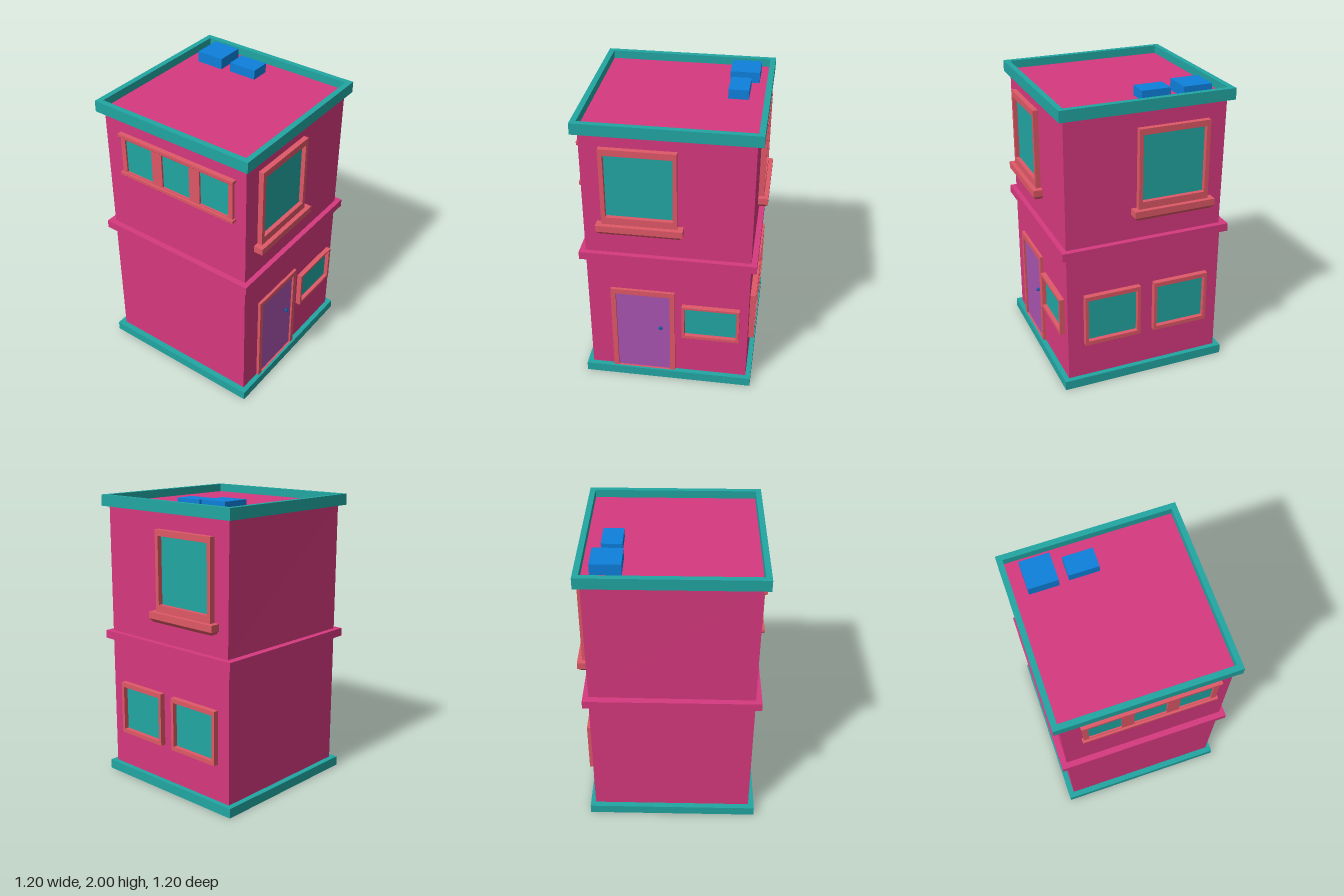
import * as THREE from 'three';

const mat = (color) => new THREE.MeshStandardMaterial({ color, flatShading: true });
const pink = mat(0xd6397e), teal = mat(0x21a6a2), coral = mat(0xde5866);
const purple = mat(0xa854af), blue = mat(0x0e80dc), knobBlue = mat(0x0a5fa8);

// Box from its minimum and maximum corners
function block(name, material, [x0, y0, z0], [x1, y1, z1]) {
  const mesh = new THREE.Mesh(new THREE.BoxGeometry(x1 - x0, y1 - y0, z1 - z0), material);
  mesh.position.set((x0 + x1) / 2, (y0 + y1) / 2, (z0 + z1) / 2);
  mesh.name = name;
  return mesh;
}

function trace(path, [x0, y0, x1, y1]) {
  path.moveTo(x0, y0);
  path.lineTo(x1, y0);
  path.lineTo(x1, y1);
  path.lineTo(x0, y1);
  path.closePath();
  return path;
}

// Rectangular plate with rectangular holes, extruded along +z
function plate(name, material, outer, holes, depth) {
  const shape = trace(new THREE.Shape(), outer);
  holes.forEach((h) => shape.holes.push(trace(new THREE.Path(), h)));
  const mesh = new THREE.Mesh(new THREE.ExtrudeGeometry(shape, { depth, bevelEnabled: false }), material);
  mesh.name = name;
  return mesh;
}

// Ledge against a wall: a straight slab over an underside that tapers inwards
function ledge(name, x0, x1, y0, yMid, y1, depth, taper) {
  const group = new THREE.Group();
  group.name = name;
  group.add(block('ledgeTop', coral, [x0, yMid, -0.01], [x1, y1, depth]));
  const under = block('ledgeUnderside', coral, [x0, y0, 0], [x1, yMid, depth]);
  const p = under.geometry.attributes.position;
  for (let i = 0; i < p.count; i++) {
    if (p.getY(i) > 0) continue;
    p.setX(i, p.getX(i) - Math.sign(p.getX(i)) * taper);
    if (p.getZ(i) > 0) p.setZ(i, p.getZ(i) - taper);
  }
  under.geometry.computeVertexNormals();
  group.add(under);
  return group;
}

// Framed window in wall space: x along the wall, z outwards
function framedWindow(name, outer, panes, depth) {
  const group = new THREE.Group();
  group.name = name;
  group.add(plate('windowFrame', coral, outer, panes, depth));
  panes.forEach(([x0, y0, x1, y1]) =>
    group.add(block('windowPane', teal, [x0, y0, -0.01], [x1, y1, 0.006])));
  return group;
}

// Group standing on one wall, turned so that its z points outwards
function wallGroup(name, x, z, turn) {
  const group = new THREE.Group();
  group.name = name;
  group.position.set(x, 0, z);
  group.rotation.y = turn;
  return group;
}

export function createModel() {
  const house = new THREE.Group();
  house.name = 'house';

  // Storeys and slabs
  house.add(block('base', teal, [-0.6, 0, -0.6], [0.565, 0.065, 0.57]));
  house.add(block('lowerStorey', pink, [-0.56, 0.065, -0.56], [0.53, 0.99, 0.535]));
  house.add(block('floorBand', pink, [-0.6, 0.985, -0.6], [0.568, 1.04, 0.57]));
  const upper = block('upperStorey', pink, [-0.56, 1.035, -0.56], [0.53, 1.925, 0.535]);
  // Slightly uneven lower back corner
  const p = upper.geometry.attributes.position;
  for (let i = 0; i < p.count; i++) {
    if (p.getX(i) > 0 && p.getY(i) < 0 && p.getZ(i) < 0) p.setZ(i, p.getZ(i) + 0.01);
  }
  upper.geometry.computeVertexNormals();
  house.add(upper);

  // Parapet around the roof
  const parapet = plate('parapet', teal, [-0.6, -0.57, 0.57, 0.6], [[-0.562, -0.533, 0.532, 0.562]], 0.075);
  parapet.rotation.x = -Math.PI / 2;
  parapet.position.y = 1.905;
  house.add(parapet);
  house.add(block('roofDeck', pink, [-0.565, 1.91, -0.565], [0.535, 1.926, 0.536]));

  // Roof units
  house.add(block('largeRoofUnit', blue, [0.285, 1.92, -0.475], [0.48, 2, -0.28]));
  house.add(block('smallRoofUnit', blue, [0.297, 1.92, -0.215], [0.43, 1.99, -0.018]));

  // Front wall
  const front = wallGroup('frontWallParts', 0, 0.535, 0);
  front.add(framedWindow('frontUpperWindow', [-0.435, 1.28, 0.052, 1.818], [[-0.407, 1.33, 0.026, 1.775]], 0.035));
  front.add(ledge('frontSill', -0.47, 0.092, 1.21, 1.235, 1.28, 0.065, 0.022));
  front.add(framedWindow('frontLowerWindow', [0.08, 0.385, 0.472, 0.652], [[0.1, 0.407, 0.452, 0.637]], 0.035));
  front.add(plate('doorFrame', coral, [-0.405, 0.065, 0.032, 0.747], [[-0.371, 0.0651, -0.002, 0.71]], 0.02));
  front.add(block('door', purple, [-0.371, 0.065, -0.01], [-0.002, 0.71, 0.006]));
  const knob = new THREE.Mesh(new THREE.SphereGeometry(0.013, 12, 8), knobBlue);
  knob.name = 'doorKnob';
  knob.position.set(-0.068, 0.435, 0.014);
  front.add(knob);
  house.add(front);

  // Wall on the +x side
  const side = wallGroup('sideWallParts', 0.53, 0, Math.PI / 2);
  side.add(framedWindow('sideUpperWindow', [-0.053, 1.255, 0.435, 1.795], [[-0.026, 1.305, 0.408, 1.755]], 0.038));
  side.add(ledge('sideSill', -0.09, 0.473, 1.187, 1.212, 1.257, 0.068, 0.022));
  for (const x of [-0.423, 0.07]) {
    side.add(framedWindow('sideLowerWindow', [x, 0.322, x + 0.394, 0.69], [[x + 0.022, 0.35, x + 0.373, 0.66]], 0.038));
  }
  house.add(side);

  // Triple window on the -x side
  const far = wallGroup('tripleWindowParts', -0.56, 0, -Math.PI / 2);
  const panes = [-0.39, -0.095, 0.2].map((x) => [x, 1.52, x + 0.215, 1.76]);
  far.add(framedWindow('tripleWindow', [-0.425, 1.5, 0.45, 1.785], panes, 0.018));
  far.add(ledge('upperRail', -0.435, 0.46, 1.768, 1.778, 1.798, 0.033, 0.01));
  far.add(ledge('lowerRail', -0.435, 0.46, 1.482, 1.492, 1.512, 0.033, 0.01));
  house.add(far);

  return house;
}
